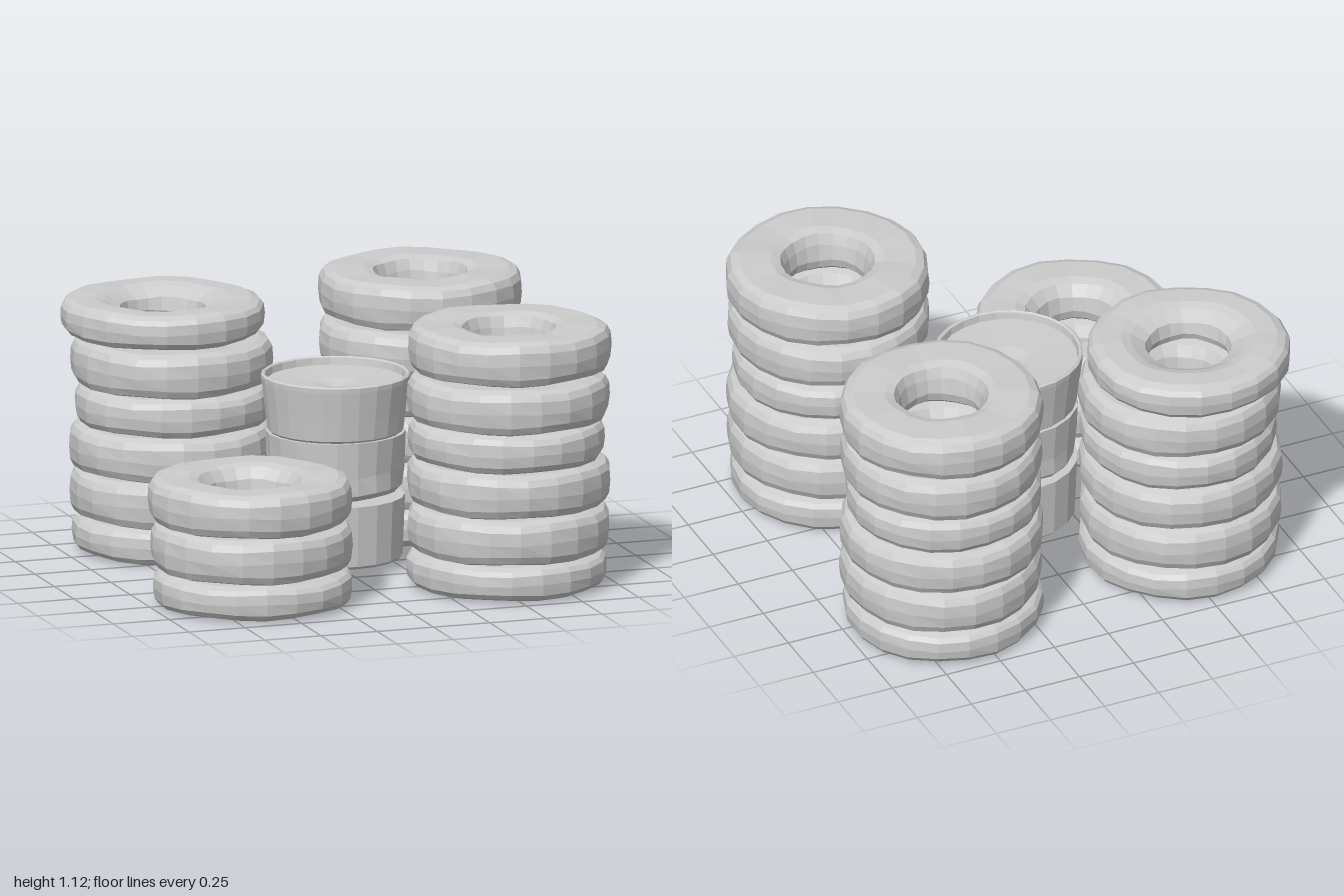
import * as THREE from 'three';

const material = new THREE.MeshStandardMaterial({ color: 0xcccccc, flatShading: true });

// Revolve a profile of [radius, height] points, bottom outside to top
function revolve(points, sides, name) {
  const profile = points.map(([r, y]) => new THREE.Vector2(r, y));
  const mesh = new THREE.Mesh(new THREE.LatheGeometry(profile, sides), material);
  mesh.name = name;
  return mesh;
}

// Slightly uneven tyre: solid ring with rounded shoulders and funnelled hole
function makeTyre(radius, height, funnel, seed) {
  const R = radius, h = height, hole = 0.17;
  const tyre = revolve([
    [hole, h * 0.35], [hole + 0.01, h * 0.15], [0.205, 0.008], [0.24, 0],
    [R - 0.06, 0], [R - 0.022, 0.012], [R - 0.006, h * 0.22],
    [R, h * 0.5], [R - 0.004, h * 0.78], [R - 0.02, h - 0.014], [R - 0.055, h],
    [funnel + 0.04, h], [funnel, h - 0.012], [hole + 0.012, h * 0.7], [hole, h * 0.35],
  ], 20, 'tyre');

  // Gentle waviness around the ring, shared by the seam vertices
  const p = tyre.geometry.attributes.position;
  for (let i = 0; i < p.count; i++) {
    const x = p.getX(i), y = p.getY(i), z = p.getZ(i);
    const a = Math.atan2(x, z);
    const k = 1 + 0.007 * Math.sin(3 * a + seed) + 0.004 * Math.sin(7 * a + seed * 2 + y * 20);
    const dy = 0.004 * Math.sin(5 * a + seed * 3) * (y > h / 2 ? -1 : 1);
    p.setXYZ(i, x * k, y + dy, z * k);
  }
  tyre.geometry.computeVertexNormals();
  tyre.rotation.y = seed * 0.7;
  return tyre;
}

// Layers from the ground up: base height, thickness, outer radius
const layers = [
  [0.005, 0.148, 0.423], [0.158, 0.194, 0.427], [0.358, 0.19, 0.43],
  [0.55, 0.166, 0.415], [0.72, 0.192, 0.427], [0.928, 0.192, 0.43],
];

function makeStack(name, x, z, count, topFunnel, topHeight, lean) {
  const stack = new THREE.Group();
  stack.name = name;
  for (let i = 0; i < count; i++) {
    const top = i === count - 1;
    const [y, h, r] = layers[i];
    const seed = i * 1.9 + x * 3 + z * 5;
    const tyre = makeTyre(r, top ? topHeight : h, top ? topFunnel : 0.21, seed);
    const shift = top ? 0 : lean;
    tyre.position.set(x + shift + 0.004 * Math.sin(seed), y, z + shift + 0.004 * Math.cos(seed));
    stack.add(tyre);
  }
  return stack;
}

// Centre barrel: three tapered drums, the top one with a raised rim
function makeBarrel() {
  const barrel = new THREE.Group();
  barrel.name = 'barrel';
  const lower = revolve([[0, 0], [0.27, 0], [0.282, 0.012], [0.292, 0.27], [0, 0.27]], 20, 'lowerDrum');
  lower.position.y = 0.04;

  const middle = revolve([[0, 0.01], [0.26, 0], [0.282, 0.025], [0.285, 0.1], [0.295, 0.255], [0, 0.255]], 20, 'middleDrum');
  middle.position.y = 0.33;
  // Dented lower edge
  const p = middle.geometry.attributes.position;
  for (let i = 0; i < p.count; i++) {
    const x = p.getX(i), z = p.getZ(i), y = p.getY(i);
    if (y < 0.15 && Math.hypot(x, z) > 0.1) {
      const a = Math.atan2(x, z);
      const k = 1 + 0.015 * Math.sin(4 * a + y * 30);
      p.setXYZ(i, x * k, y + 0.008 * Math.sin(3 * a), z * k);
    }
  }
  middle.geometry.computeVertexNormals();

  const upper = revolve([
    [0, 0], [0.275, 0], [0.287, 0.012], [0.297, 0.1], [0.313, 0.225],
    [0.314, 0.245], [0.306, 0.25], [0.297, 0.245], [0.292, 0.215], [0.1, 0.205], [0, 0.185],
  ], 24, 'upperDrum');
  upper.position.y = 0.582;
  barrel.add(lower, middle, upper);
  return barrel;
}

export function createModel() {
  const model = new THREE.Group();
  model.name = 'tyreStacks';
  model.add(
    makeStack('frontLeftStack', 0.57, 0.565, 6, 0.2, 0.192, 0),
    makeStack('backLeftStack', 0.57, -0.567, 6, 0.2, 0.192, 0),
    makeStack('frontRightStack', -0.57, 0.56, 3, 0.22, 0.19, 0),
    makeStack('backRightStack', -0.565, -0.57, 6, 0.245, 0.15, 0.025),
    makeBarrel(),
  );
  return model;
}
